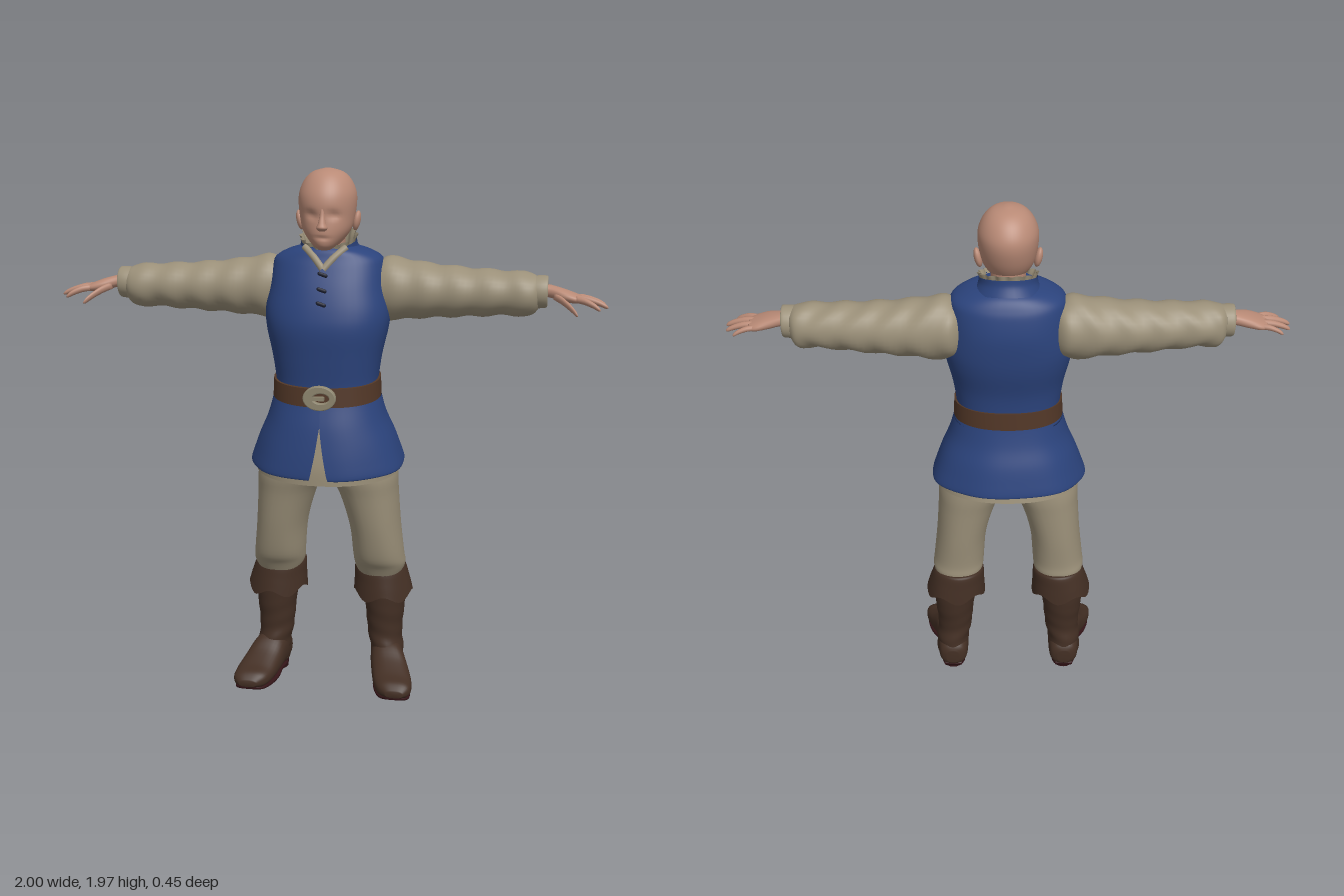
import * as THREE from 'three';
import { toCreasedNormals } from 'three/addons/utils/BufferGeometryUtils.js';

const mat = (name, color, side = THREE.FrontSide) => {
  const m = new THREE.MeshStandardMaterial({ color, side });
  m.name = name;
  return m;
};

// Catmull-Rom through numbers a..d
const spline = (a, b, c, d, t) =>
  b + 0.5 * t * (c - a + t * (2 * a - 5 * b + 4 * c - d + t * (3 * (b - c) + d - a)));

// Skin over oval sections along an axis. Row: [s, aMin, aMax, bMin, bMax];
// (a, b) are (x, z) on axis y, (z, y) on axis x and (y, x) on axis z.
function loft(rows, { axis = 'y', seg = 32, steps = 5, p = 1, cap = true, gap = null, warp = null } = {}) {
  const n = rows.length - 1, pos = [], idx = [], v = new THREE.Vector3();
  const put = (a, s, b) => {
    if (axis === 'y') v.set(a, s, b);
    else if (axis === 'x') v.set(s, b, a);
    else v.set(b, a, s);
  };
  const pow = (c) => Math.sign(c) * Math.abs(c) ** p;
  const cols = gap ? seg + 1 : seg, total = n * steps;
  for (let i = 0; i <= total; i++) {
    const k = Math.min(Math.floor(i / steps), n - 1), f = i / steps - k, t = i / total;
    const r = rows[k].map((b, j) =>
      spline(rows[Math.max(k - 1, 0)][j], b, rows[k + 1][j], rows[Math.min(k + 2, n)][j], f));
    const g = gap ? gap(t) : 0;
    for (let j = 0; j < cols; j++) {
      const a = g + (j / seg) * (2 * Math.PI - 2 * g);
      put((r[1] + r[2]) / 2 + ((r[2] - r[1]) / 2) * pow(Math.sin(a)), r[0],
        (r[3] + r[4]) / 2 + ((r[4] - r[3]) / 2) * pow(Math.cos(a)));
      if (warp) warp(v, a, t);
      pos.push(v.x, v.y, v.z);
    }
  }
  for (let i = 0; i < total; i++) for (let j = 0; j < seg; j++) {
    const q = (j + 1) % cols, a = i * cols + j, b = i * cols + q;
    idx.push(a, b, a + cols, b, b + cols, a + cols);
  }
  if (cap && !gap) for (const end of [0, total]) {
    const c = pos.length / 3, m = [0, 0, 0];
    for (let j = 0; j < cols; j++) for (let d = 0; d < 3; d++) m[d] += pos[(end * cols + j) * 3 + d] / cols;
    pos.push(...m);
    for (let j = 0; j < cols; j++) {
      const a = end * cols + j, b = end * cols + ((j + 1) % cols);
      if (end) idx.push(a, b, c); else idx.push(b, a, c);
    }
  }
  const g = new THREE.BufferGeometry();
  g.setAttribute('position', new THREE.Float32BufferAttribute(pos, 3));
  g.setIndex(idx);
  g.computeVertexNormals();
  return g;
}

function mirrored(geo) {
  const g = geo.clone().scale(-1, 1, 1), ix = g.index.array;
  for (let i = 0; i < ix.length; i += 3) [ix[i], ix[i + 1]] = [ix[i + 1], ix[i]];
  return g;
}

// rows symmetric in x: [y, halfWidth, zBack, zFront]
const sym = (rows) => rows.map(([y, x, b, f]) => [y, -x, x, b, f]);

export function createModel() {
  const root = new THREE.Group();
  root.name = 'figure';
  const skin = mat('skin', 0xb98a76);
  const blue = mat('blueCloth', 0x2b437c, THREE.DoubleSide);
  const linen = mat('linen', 0x9b9079, THREE.DoubleSide);
  const boot = mat('bootLeather', 0x432f24, THREE.DoubleSide);
  const leather = mat('beltLeather', 0x523727);
  const metal = mat('buckleMetal', 0x8e866f);
  const sole = mat('soleLeather', 0x331417);
  const dark = mat('buttonDark', 0x1d2030);

  const add = (name, geo, m) => {
    const mesh = new THREE.Mesh(geo, m);
    mesh.name = name;
    root.add(mesh);
    return mesh;
  };
  const pair = (name, geo, m) => {
    add('left' + name, geo, m);
    add('right' + name, mirrored(geo), m);
  };

  // Head, with sunken eye sockets and mouth
  const dent = (v, x, y, w, h, d) => {
    v.z -= d * Math.exp(-(((v.x - x) / w) ** 2) - ((v.y - y) / h) ** 2);
  };
  add('head', loft(sym([
    [1.688, 0.02, 0.06, 0.105], [1.703, 0.045, -0.02, 0.125], [1.73, 0.07, -0.06, 0.132],
    [1.76, 0.088, -0.085, 0.133], [1.8, 0.098, -0.105, 0.13], [1.85, 0.104, -0.118, 0.132],
    [1.89, 0.101, -0.114, 0.122], [1.93, 0.083, -0.09, 0.097], [1.957, 0.054, -0.055, 0.065],
    [1.97, 0.01, -0.008, 0.02]]), {
    seg: 48, warp: (v) => {
      if (v.z < 0.04) return;
      for (const s of [-1, 1]) dent(v, s * 0.04, 1.812, 0.02, 0.014, 0.011);
      dent(v, 0, 1.733, 0.025, 0.006, 0.006);
    },
  }), skin);
  add('nose', loft(sym([
    [1.757, 0.012, 0.11, 0.137], [1.768, 0.02, 0.11, 0.156], [1.785, 0.014, 0.11, 0.15],
    [1.81, 0.01, 0.11, 0.138], [1.84, 0.008, 0.11, 0.131]]), { seg: 16 }), skin);
  pair('Ear', new THREE.SphereGeometry(1, 16, 12).scale(0.014, 0.036, 0.022)
    .rotateZ(-0.2).translate(0.103, 1.785, -0.005), skin);
  add('neck', loft(sym([[1.6, 0.07, -0.085, 0.06], [1.68, 0.06, -0.08, 0.05], [1.76, 0.062, -0.078, 0.05]])), skin);

  // Tunic body
  add('tunicBody', loft(sym([
    [1.15, 0.2, -0.145, 0.166], [1.2, 0.188, -0.14, 0.163], [1.3, 0.2, -0.145, 0.172],
    [1.4, 0.222, -0.167, 0.18], [1.47, 0.228, -0.176, 0.17], [1.55, 0.215, -0.178, 0.145],
    [1.62, 0.206, -0.166, 0.115], [1.655, 0.193, -0.152, 0.098], [1.68, 0.15, -0.135, 0.088],
    [1.695, 0.1, -0.115, 0.075]]), { seg: 48, p: 0.85 }), blue);

  // Skirt slopes up toward the back and is split at the front
  const slope = (k) => (v) => { v.y -= k * v.z; };
  add('tunicSkirt', loft(sym([
    [0.897, 0.278, -0.218, 0.212], [0.9, 0.288, -0.228, 0.223], [0.95, 0.272, -0.216, 0.219],
    [1.01, 0.25, -0.198, 0.21], [1.08, 0.22, -0.17, 0.196], [1.15, 0.2, -0.15, 0.176],
    [1.2, 0.188, -0.14, 0.163]]), {
    seg: 64, p: 0.92, gap: (t) => 0.13 * Math.max(0, 1 - t / 0.68),
    warp: (v, a, t) => {
      const r = 1 + 0.012 * (1 - t) * Math.sin(7 * a);
      v.x *= r; v.z *= r;
      v.y -= 0.12 * v.z;
    },
  }), blue);
  add('undershirtHem', loft(sym([
    [0.872, 0.27, -0.222, 0.208], [0.93, 0.265, -0.208, 0.207], [1.0, 0.24, -0.19, 0.197],
    [1.08, 0.21, -0.16, 0.182], [1.15, 0.18, -0.13, 0.15]]), {
    seg: 48, p: 0.92, cap: false, warp: slope(0.12),
  }), linen);

  // Standing collar with linen ruffle inside, and the open neckline
  add('collar', loft(sym([
    [1.655, 0.125, -0.135, 0.095], [1.69, 0.105, -0.118, 0.085], [1.715, 0.102, -0.113, 0.083]]), {
    gap: () => 0.4, warp: slope(0.3),
  }), blue);
  add('collarRuffle', loft(sym([
    [1.65, 0.085, -0.1, 0.075], [1.7, 0.092, -0.105, 0.08], [1.73, 0.102, -0.112, 0.088]]), {
    seg: 80, gap: () => 0.2, warp: (v, a, t) => {
      const r = 1 + 0.06 * t * Math.sin(16 * a);
      v.x *= r; v.z *= r;
      v.y -= 0.3 * v.z;
    },
  }), linen);
  pair('NecklineFrill', new THREE.TubeGeometry(new THREE.CatmullRomCurve3([
    new THREE.Vector3(0.075, 1.695, 0.062), new THREE.Vector3(0.035, 1.66, 0.092),
    new THREE.Vector3(0, 1.62, 0.113)]), 12, 0.013, 8), linen);

  // Toggle buttons down the chest
  for (const [y, z] of [[1.505, 0.161], [1.553, 0.146], [1.605, 0.125]]) {
    add('toggleButton', new THREE.CapsuleGeometry(0.007, 0.024, 4, 8).rotateZ(1.25).translate(0.002, y, z + 0.006), dark);
  }

  // Belt and buckle
  add('belt', toCreasedNormals(loft(sym([
    [1.155, 0.18, -0.13, 0.155], [1.155, 0.2, -0.153, 0.181],
    [1.222, 0.197, -0.149, 0.177], [1.222, 0.18, -0.13, 0.15]]), {
    seg: 64, steps: 1, p: 0.9, cap: false, warp: slope(0.12),
  }), 0.8), leather);
  const frame = new THREE.Shape().absellipse(0, 0, 0.056, 0.041, 0, Math.PI * 2);
  frame.holes.push(new THREE.Path().absellipse(0.006, 0, 0.034, 0.022, 0, Math.PI * 2));
  add('buckleFrame', new THREE.ExtrudeGeometry(frame, {
    depth: 0.014, bevelSize: 0.004, bevelThickness: 0.004, bevelSegments: 2, curveSegments: 20,
  }).translate(0, 1.17, 0.181), metal);
  add('bucklePin', new THREE.BoxGeometry(0.06, 0.014, 0.014).translate(-0.012, 1.17, 0.196), metal);

  // Sleeves with soft wrinkles, and cuffs
  pair('Sleeve', loft([
    [0.16, -0.12, 0.05, 1.46, 1.62], [0.215, -0.15, 0.056, 1.425, 1.655], [0.35, -0.142, 0.06, 1.435, 1.636],
    [0.5, -0.125, 0.06, 1.445, 1.622], [0.65, -0.105, 0.062, 1.455, 1.615],
    [0.73, -0.095, 0.06, 1.455, 1.61], [0.757, -0.07, 0.045, 1.48, 1.597]], {
    axis: 'x', steps: 8, warp: (v, a) => {
      const w = 0.0035 * Math.sin(v.x * 55 + 2 * Math.sin(a) + 1.5 * Math.cos(2 * a));
      v.y += w * Math.cos(a);
      v.z += w * Math.sin(a);
    },
  }), linen);
  pair('Cuff', loft([
    [0.735, -0.068, 0.045, 1.485, 1.6], [0.765, -0.07, 0.047, 1.485, 1.602],
    [0.788, -0.066, 0.043, 1.49, 1.6], [0.785, -0.045, 0.033, 1.515, 1.585]], { axis: 'x', cap: false }), linen);

  // Hands
  pair('Palm', loft([
    [0.74, -0.04, 0.03, 1.525, 1.578], [0.79, -0.036, 0.032, 1.527, 1.572], [0.84, -0.04, 0.056, 1.515, 1.56],
    [0.88, -0.045, 0.062, 1.51, 1.546], [0.91, -0.036, 0.052, 1.51, 1.534]], { axis: 'x', seg: 24, p: 0.85 }), skin);
  const digits = [ // name, base x z y, tip x z y, radius
    ['Thumb', 0.81, 0.03, 1.535, 0.895, 0.118, 1.48, 0.013],
    ['IndexFinger', 0.885, 0.047, 1.527, 0.972, 0.085, 1.496, 0.0115],
    ['MiddleFinger', 0.885, 0.022, 1.529, 1, 0.04, 1.5, 0.0115],
    ['RingFinger', 0.885, -0.005, 1.528, 0.994, -0.003, 1.502, 0.011],
    ['LittleFinger', 0.885, -0.03, 1.526, 0.963, -0.045, 1.505, 0.0095]];
  for (const [name, x0, z0, y0, x1, z1, y1, r] of digits) {
    const rows = [[0, 1], [0.35, 1.05], [0.7, 0.92], [0.92, 0.7], [1, 0.15]].map(([t, k]) => {
      const z = z0 + (z1 - z0) * t, y = y0 + (y1 - y0) * t + 0.008 * Math.sin(Math.PI * t);
      return [x0 + (x1 - x0) * t, z - r * k, z + r * k, y - r * k, y + r * k];
    });
    pair(name, loft(rows, { axis: 'x', seg: 12, steps: 3 }), skin);
  }

  // Trousers
  pair('TrouserLeg', loft([
    [0.43, 0.12, 0.27, -0.13, 0.03], [0.48, 0.1, 0.292, -0.145, 0.055], [0.53, 0.095, 0.288, -0.142, 0.085],
    [0.65, 0.083, 0.275, -0.15, 0.115], [0.78, 0.045, 0.266, -0.155, 0.138],
    [0.87, 0, 0.26, -0.158, 0.155], [1, -0.03, 0.22, -0.145, 0.145]], { p: 0.9 }), linen);

  // Boots: folded cuff with a ragged hem, shaft, foot, sole and heel
  pair('BootCuff', loft([
    [0.365, 0.093, 0.322, -0.174, 0.053], [0.42, 0.096, 0.308, -0.167, 0.046],
    [0.475, 0.1, 0.288, -0.157, 0.036], [0.47, 0.13, 0.265, -0.13, 0.01]], {
    seg: 48, cap: false, warp: (v, a, t) => {
      v.y += 0.014 * Math.sin(5 * a + 1) * Math.max(0, 1 - 2 * t) - 0.1 * (v.z + 0.06);
    },
  }), boot);
  pair('BootShaft', loft([
    [0.05, 0.168, 0.29, -0.148, 0.03], [0.12, 0.162, 0.288, -0.15, 0.026], [0.2, 0.148, 0.282, -0.138, 0.012],
    [0.3, 0.138, 0.29, -0.15, 0.02], [0.38, 0.125, 0.294, -0.155, 0.024], [0.44, 0.12, 0.28, -0.15, 0.02]], {
    steps: 8, warp: (v, a) => {
      const w = 0.003 * Math.sin(v.y * 90 + 2 * Math.sin(a)) * Math.max(0, 1 - v.y / 0.35);
      v.x += w * Math.sin(a);
      v.z += w * Math.cos(a);
    },
  }), boot);
  pair('BootFoot', loft([
    [-0.156, 0.04, 0.1, 0.2, 0.25], [-0.135, 0.022, 0.13, 0.17, 0.278], [-0.06, 0.022, 0.16, 0.163, 0.288],
    [0, 0.025, 0.165, 0.168, 0.3], [0.06, 0.017, 0.122, 0.18, 0.325], [0.12, 0.012, 0.09, 0.195, 0.342],
    [0.165, 0.012, 0.075, 0.215, 0.34], [0.192, 0.025, 0.05, 0.25, 0.315]], { axis: 'z', p: 0.8 }), boot);
  pair('BootSole', loft([
    [-0.145, 0.015, 0.03, 0.19, 0.26], [-0.06, 0.014, 0.032, 0.175, 0.278], [0, 0.014, 0.034, 0.182, 0.288],
    [0.06, 0.007, 0.026, 0.185, 0.32], [0.12, 0.004, 0.022, 0.2, 0.337], [0.165, 0.006, 0.022, 0.222, 0.333],
    [0.185, 0.014, 0.026, 0.25, 0.31]], { axis: 'z', p: 0.6 }), sole);
  pair('BootHeel', new THREE.CylinderGeometry(0.05, 0.047, 0.035, 20).scale(1, 1, 1.15)
    .translate(0.225, 0.0175, -0.085), sole);
  return root;
}
